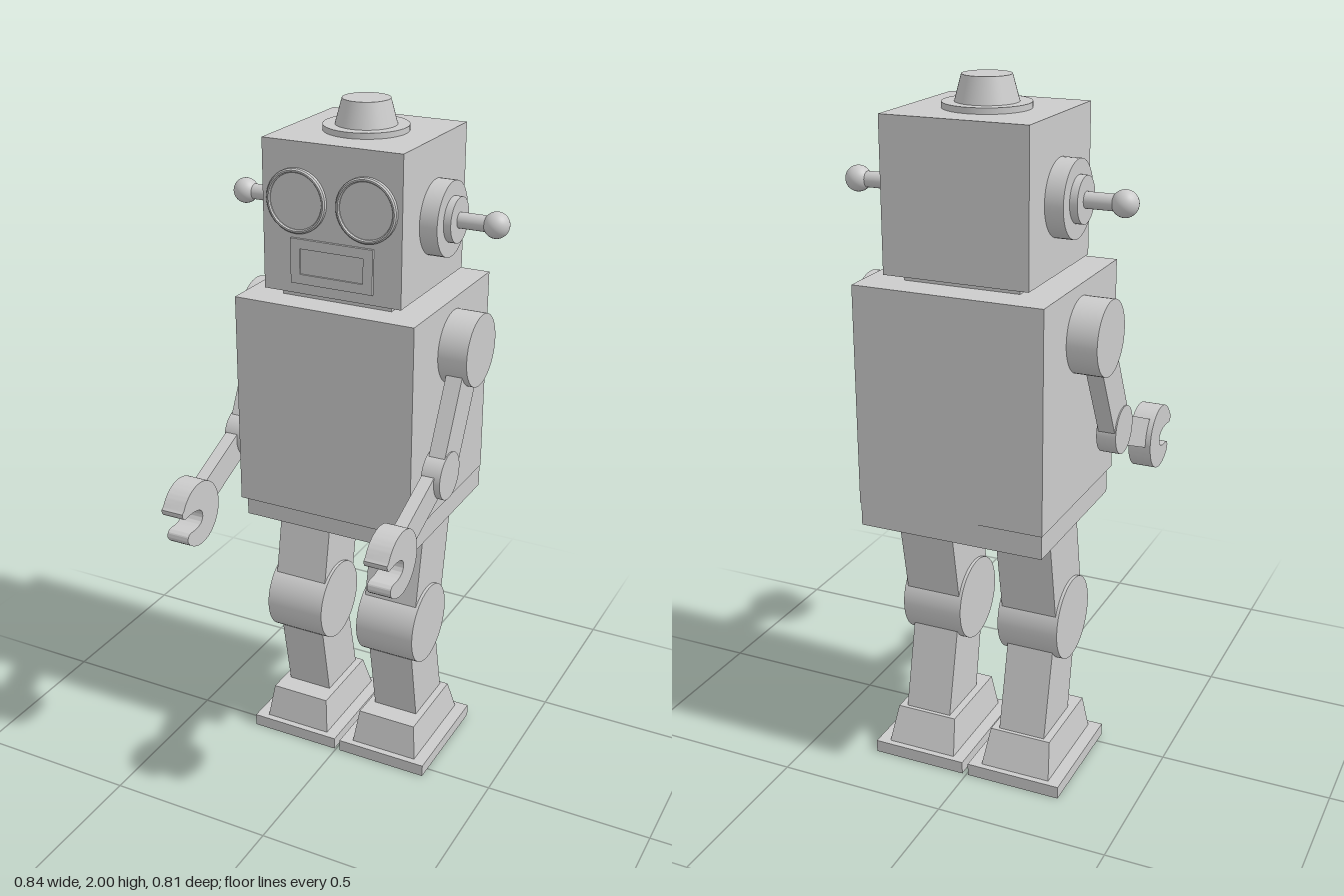
import * as THREE from 'three';
import { toCreasedNormals } from 'three/addons/utils/BufferGeometryUtils.js';

const material = new THREE.MeshStandardMaterial({ color: 0xcccccc });

function add(parent, name, geometry, x = 0, y = 0, z = 0) {
  const mesh = new THREE.Mesh(geometry, material);
  mesh.name = name;
  mesh.position.set(x, y, z);
  parent.add(mesh);
  return mesh;
}

// Box given by its limits on each axis
function block(parent, name, [x0, x1], [y0, y1], [z0, z1]) {
  return add(parent, name, new THREE.BoxGeometry(x1 - x0, y1 - y0, z1 - z0),
    (x0 + x1) / 2, (y0 + y1) / 2, (z0 + z1) / 2);
}

// Cylinder lying along x
const drum = (r, width) => new THREE.CylinderGeometry(r, r, width, 48).rotateZ(Math.PI / 2);

// Side profile in (z, y), extruded along x and centred on x = 0
function sideExtrude(shape, width) {
  const g = new THREE.ExtrudeGeometry(shape, { depth: width, bevelEnabled: false, curveSegments: 32 });
  g.rotateY(-Math.PI / 2).translate(width / 2, 0, 0);
  return toCreasedNormals(g, 0.5);
}

const polygon = (points) => new THREE.Shape(points.map(([z, y]) => new THREE.Vector2(z, y)));

// Flat bar between two (z, y) joints
function bar([z0, y0], [z1, y1], thickness, width) {
  const length = Math.hypot(z1 - z0, y1 - y0);
  const nz = (-(y1 - y0) / length) * thickness / 2;
  const ny = ((z1 - z0) / length) * thickness / 2;
  return sideExtrude(polygon([
    [z0 - nz, y0 - ny], [z1 - nz, y1 - ny], [z1 + nz, y1 + ny], [z0 + nz, y0 + ny],
  ]), width);
}

// Wrench-like hand: round back with a rounded notch opening forward
function clawShape() {
  const rad = Math.PI / 180;
  const s = new THREE.Shape();
  s.absarc(0.312, 0.897, 0.095, 28 * rad, 312 * rad, false);
  s.lineTo(0.383, 0.838);
  s.quadraticCurveTo(0.385, 0.858, 0.366, 0.86);
  s.bezierCurveTo(0.335, 0.858, 0.303, 0.862, 0.303, 0.888);
  s.bezierCurveTo(0.303, 0.918, 0.35, 0.92, 0.392, 0.914);
  s.quadraticCurveTo(0.405, 0.918, 0.405, 0.935);
  s.closePath();
  return s;
}

function buildHead() {
  const head = new THREE.Group();
  head.name = 'head';
  block(head, 'skull', [-0.206, 0.206], [1.5, 1.915], [-0.35, 0.06]);
  block(head, 'neck', [-0.165, 0.165], [1.48, 1.5], [-0.31, 0.03]);

  // Crown cap
  add(head, 'crownPlate', new THREE.CylinderGeometry(0.118, 0.118, 0.016, 48), 0, 1.923, -0.145);
  add(head, 'crownCone', new THREE.CylinderGeometry(0.066, 0.085, 0.07, 48), 0, 1.965, -0.145);

  // Eyes: raised rim around a lens
  const rim = new THREE.LatheGeometry([
    [0.077, 0], [0.077, 0.01], [0.08, 0.014], [0.084, 0.014], [0.088, 0.01], [0.088, 0],
  ].map(([r, h]) => new THREE.Vector2(r, h)).reverse(), 48);
  // Outline runs so that the faces point outward after turning to the front
  rim.index.array.reverse();
  const rimMesh = toCreasedNormals(orientOutward(rim.rotateX(Math.PI / 2)), 0.6);
  const lens = new THREE.CylinderGeometry(0.078, 0.078, 0.01, 48).rotateX(Math.PI / 2);
  for (const x of [-0.102, 0.105]) {
    add(head, 'eyeRim', rimMesh, x, 1.757, 0.06);
    add(head, 'eyeLens', lens, x, 1.757, 0.062);
  }

  // Mouth: thin frame around a panel
  const frame = polygon([[-0.12, 1.53], [0.125, 1.53], [0.125, 1.655], [-0.12, 1.655]]);
  frame.holes.push(new THREE.Path([[-0.092, 1.557], [-0.092, 1.628], [0.097, 1.628], [0.097, 1.557]]
    .map(([x, y]) => new THREE.Vector2(x, y))));
  add(head, 'mouthFrame', new THREE.ExtrudeGeometry(frame, { depth: 0.012, bevelEnabled: false }), 0, 0, 0.056);
  block(head, 'mouthPanel', [-0.095, 0.1], [1.555, 1.63], [0.052, 0.063]);

  // Ears with antennas
  for (const s of [-1, 1]) {
    const ear = new THREE.Group();
    ear.name = s < 0 ? 'rightEar' : 'leftEar';
    ear.position.set(0, 1.7, -0.15);
    add(ear, 'earDisc', drum(0.104, 0.055), s * 0.2295);
    add(ear, 'earHub', drum(0.063, 0.03), s * 0.263);
    add(ear, 'antennaRod', drum(0.022, 0.1), s * 0.325);
    add(ear, 'antennaBall', new THREE.SphereGeometry(0.036, 32, 20), s * 0.383);
    head.add(ear);
  }
  return head;
}

// Flip the winding of a ring lying in the xy plane if its front cap faces -z
function orientOutward(g) {
  const p = g.attributes.position, idx = g.index.array;
  const v = (i) => new THREE.Vector3().fromBufferAttribute(p, i);
  let volume = 0;
  for (let i = 0; i < idx.length; i += 3) {
    volume += v(idx[i]).dot(v(idx[i + 1]).cross(v(idx[i + 2])));
  }
  if (volume < 0) idx.reverse();
  return g;
}

function buildArm(s) {
  const arm = new THREE.Group();
  arm.name = s < 0 ? 'rightArm' : 'leftArm';
  const shoulder = [-0.15, 1.341], elbow = [0.013, 1.024], wrist = [0.25, 0.925];
  const lowerX = s * 0.312 - 0.007;
  add(arm, 'shoulder', drum(0.104, 0.09), s * 0.31, shoulder[1], shoulder[0]);
  add(arm, 'upperArm', bar(shoulder, elbow, 0.11, 0.048), s * 0.314);
  add(arm, 'elbow', drum(0.069, 0.057), s * 0.313, elbow[1], elbow[0]);
  add(arm, 'forearm', bar(elbow, wrist, 0.085, 0.037), lowerX);
  add(arm, 'claw', sideExtrude(clawShape(), 0.068), lowerX);
  return arm;
}

function buildLeg(s) {
  const leg = new THREE.Group();
  leg.name = s < 0 ? 'rightLeg' : 'leftLeg';
  leg.position.x = s * 0.151 + 0.004;
  add(leg, 'thigh', sideExtrude(polygon([
    [-0.193, 0.463], [0.003, 0.463], [-0.063, 0.82], [-0.259, 0.82],
  ]), 0.165));
  add(leg, 'knee', drum(0.122, 0.183), 0, 0.463, -0.093);
  add(leg, 'shin', sideExtrude(polygon([
    [-0.253, 0.13], [-0.067, 0.13], [-0.003, 0.463], [-0.175, 0.463],
  ]), 0.14));

  // Ankle block tapers toward the top, more at the back
  const ankle = new THREE.BoxGeometry(0.21, 0.103, 0.32);
  const p = ankle.attributes.position;
  for (let i = 0; i < p.count; i++) {
    if (p.getY(i) > 0) {
      p.setX(i, Math.sign(p.getX(i)) * 0.092);
      p.setZ(i, p.getZ(i) > 0 ? 0.14 : -0.122);
    }
  }
  add(leg, 'ankle', toCreasedNormals(ankle, 0.1), 0, 0.0885, -0.14);
  block(leg, 'footPlate', [-0.142, 0.142], [0, 0.037], [-0.318, 0.04]);
  return leg;
}

export function createModel() {
  const robot = new THREE.Group();
  robot.name = 'toyRobot';
  block(robot, 'torso', [-0.27, 0.27], [0.862, 1.48], [-0.405, 0.115]);
  block(robot, 'hips', [-0.268, 0.268], [0.795, 0.862], [-0.402, 0.083]);
  robot.add(buildHead());
  for (const s of [-1, 1]) robot.add(buildArm(s), buildLeg(s));
  return robot;
}
